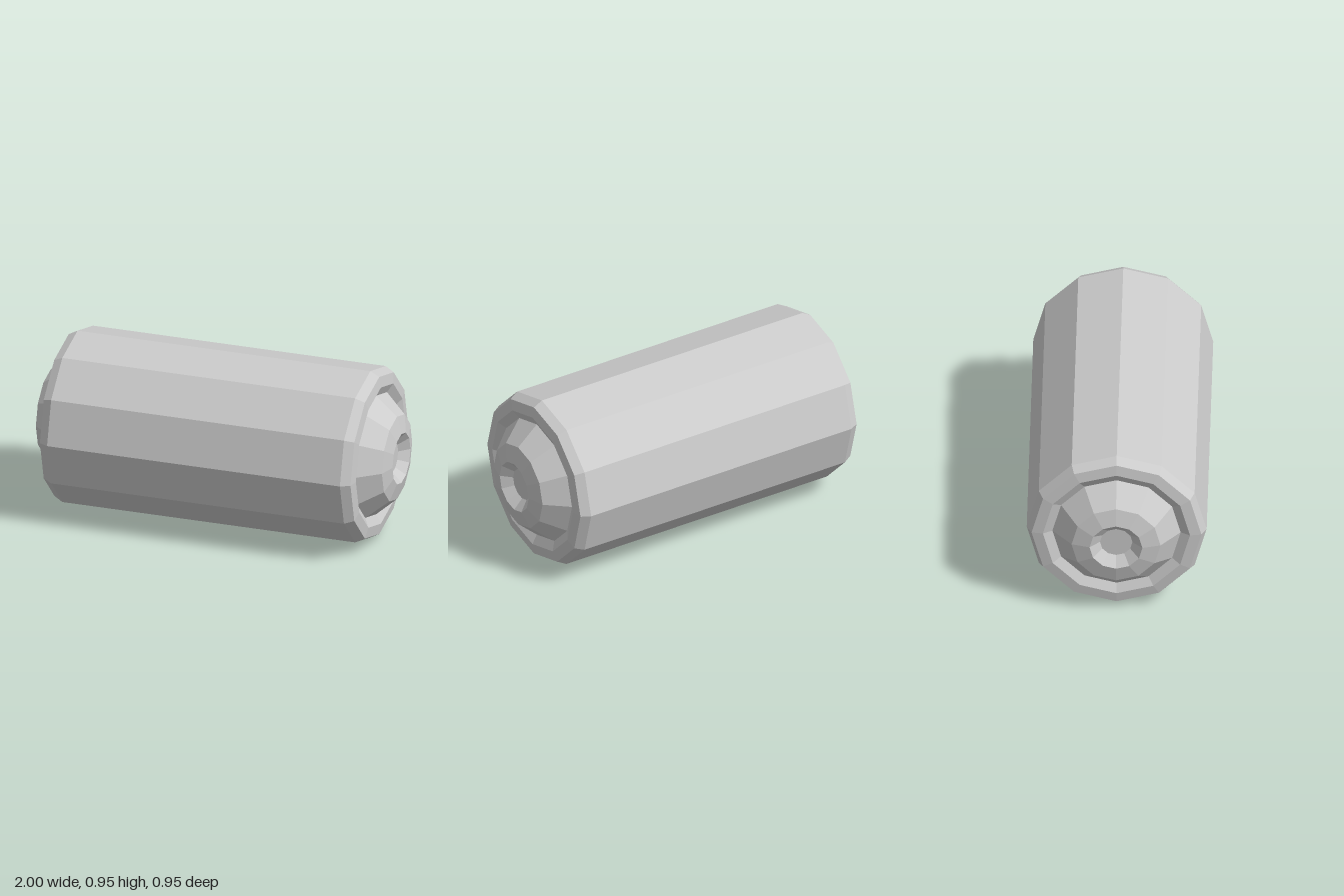
import * as THREE from 'three';

const SIDES = 12;
const CENTRE_Y = 0.478;

export function createModel() {
  const model = new THREE.Group();
  model.name = 'barrel';
  const material = new THREE.MeshStandardMaterial({ color: 0xcccccc, flatShading: true });

  // Turns a profile of [radius, x] pairs around the x axis, listed from -x to +x
  const turned = (name, profile) => {
    const points = profile.map(([r, x]) => new THREE.Vector2(r, x));
    const geometry = new THREE.LatheGeometry(points, SIDES).rotateZ(-Math.PI / 2);
    const mesh = new THREE.Mesh(geometry, material);
    mesh.name = name;
    mesh.position.y = CENTRE_Y;
    model.add(mesh);
    return mesh;
  };

  // Long body with chamfered ends
  turned('body', [[0.45, -0.875], [0.477, -0.825], [0.477, 0.825], [0.45, 0.875]]);

  // Matching ends, the second turned half way round
  for (const [side, angle] of [['left', 0], ['right', Math.PI]]) {
    // End rim falling into the groove around the cap
    const rim = turned(side + 'Rim', [[0.45, 0.875], [0.39, 0.884], [0.34, 0.857]]);
    // Domed cap
    const cap = turned(side + 'Cap', [[0.34, 0.857], [0.236, 0.975], [0.14, 1]]);
    // Dished socket with a flat floor
    const socket = turned(side + 'Socket', [[0.14, 1], [0.086, 0.95], [0, 0.95]]);
    for (const part of [rim, cap, socket]) part.rotation.y = angle;
  }

  return model;
}
